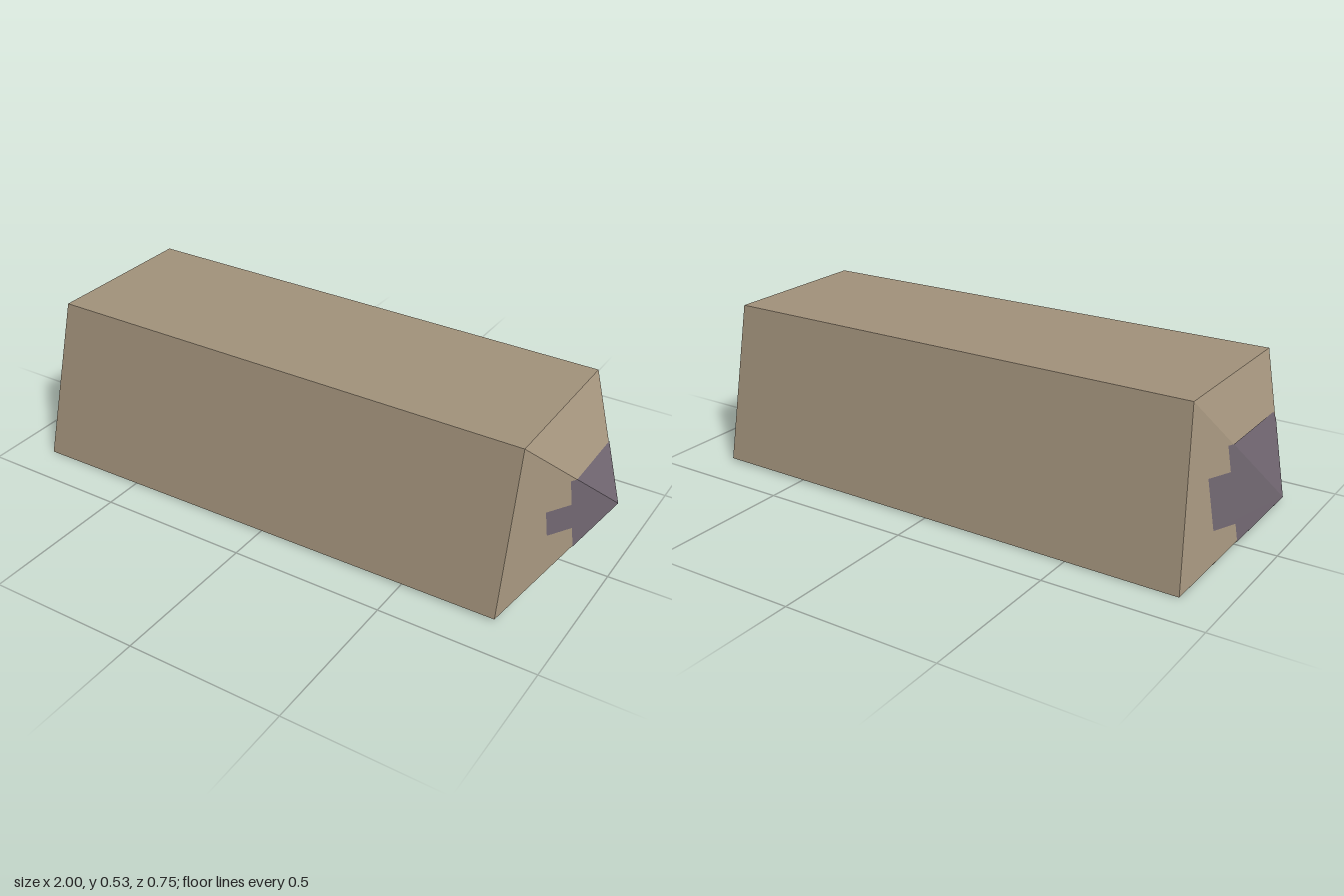
import * as THREE from 'three';

// Flat-shaded mesh from a list of convex polygons (counter-clockwise from outside)
function polyMesh(name, polygons, material) {
  const pos = [];
  for (const p of polygons)
    for (let i = 1; i < p.length - 1; i++) pos.push(...p[0], ...p[i], ...p[i + 1]);
  const geo = new THREE.BufferGeometry();
  geo.setAttribute('position', new THREE.Float32BufferAttribute(pos, 3));
  geo.computeVertexNormals();
  const mesh = new THREE.Mesh(geo, material);
  mesh.name = name;
  return mesh;
}

// Clip a convex (z, y) polygon to a counter-clockwise (z, y) triangle
function clip(poly, tri) {
  tri.forEach((a, e) => {
    const b = tri[(e + 1) % 3], out = [];
    const side = p => (b[0] - a[0]) * (p[1] - a[1]) - (b[1] - a[1]) * (p[0] - a[0]);
    poly.forEach((p, i) => {
      const q = poly[(i + 1) % poly.length], sp = side(p), sq = side(q);
      if (sp >= 0) out.push(p);
      if (sp * sq < 0) {
        const t = sp / (sp - sq);
        out.push([p[0] + (q[0] - p[0]) * t, p[1] + (q[1] - p[1]) * t]);
      }
    });
    poly = out;
  });
  return poly;
}

// x of the plane through three [x, y, z] points, at (z, y)
function planeX([a, b, c], z, y) {
  const n = new THREE.Vector3(...b).sub(new THREE.Vector3(...a))
    .cross(new THREE.Vector3(...c).sub(new THREE.Vector3(...a)));
  return a[0] - (n.y * (y - a[1]) + n.z * (z - a[2])) / n.x;
}

export function createModel() {
  const model = new THREE.Group();
  model.name = 'bar';
  const tan = new THREE.MeshStandardMaterial({ color: 0xa3937c });
  tan.name = 'tan';
  const purple = new THREE.MeshStandardMaterial({ color: 0x6e646e });
  purple.name = 'dusky purple';

  // Trapezoid end outlines, ordered back-bottom, front-bottom, front-top, back-top
  const outline = (xb, xt, yb, yt, zb, zt) =>
    [[xb, yb, -zb], [xb, yb, zb], [xt, yt, zt], [xt, yt, -zt]];
  const left = outline(-0.865, -0.825, 0, 0.53, 0.374, 0.265);
  const right = outline(0.805, 0.805, 0.008, 0.524, 0.366, 0.26);

  // Long sides
  model.add(polyMesh('longSides', left.map((p, i) => {
    const j = (i + 1) % 4;
    return [p, right[i], right[j], left[j]];
  }), tan));

  // Blocky stain on both ends, as rows of [z0, z1, y0, y1]
  const stain = [
    [-0.17, 0.06, 0.08, 0.157],
    [-0.245, 0.137, 0.157, 0.232],
    [-0.245, 0.21, 0.232, 0.308],
    [-0.17, 0.137, 0.308, 0.384],
  ];

  // Pyramid ends with the stain laid just over their faces
  const addEnd = (name, corners, apex, s) => {
    const orient = p => (s > 0 ? [...p].reverse() : p);
    const tris = corners.map((p, i) => [p, corners[(i + 1) % 4], apex]);
    const patches = [];
    for (const tri of tris) {
      const flat = tri.map(p => [p[2], p[1]]);
      for (const [z0, z1, y0, y1] of stain) {
        const poly = clip([[z0, y0], [z1, y0], [z1, y1], [z0, y1]], flat);
        if (poly.length > 2)
          patches.push(orient(poly.map(([z, y]) => [planeX(tri, z, y) + s * 0.002, y, z])));
      }
    }
    model.add(polyMesh(name + 'Point', tris.map(orient), tan));
    model.add(polyMesh(name + 'Stain', patches, purple));
  };
  addEnd('left', right, [0.998, 0.266, 0], 1);
  addEnd('right', left, [-0.998, 0.19, 0], -1);

  return model;
}
